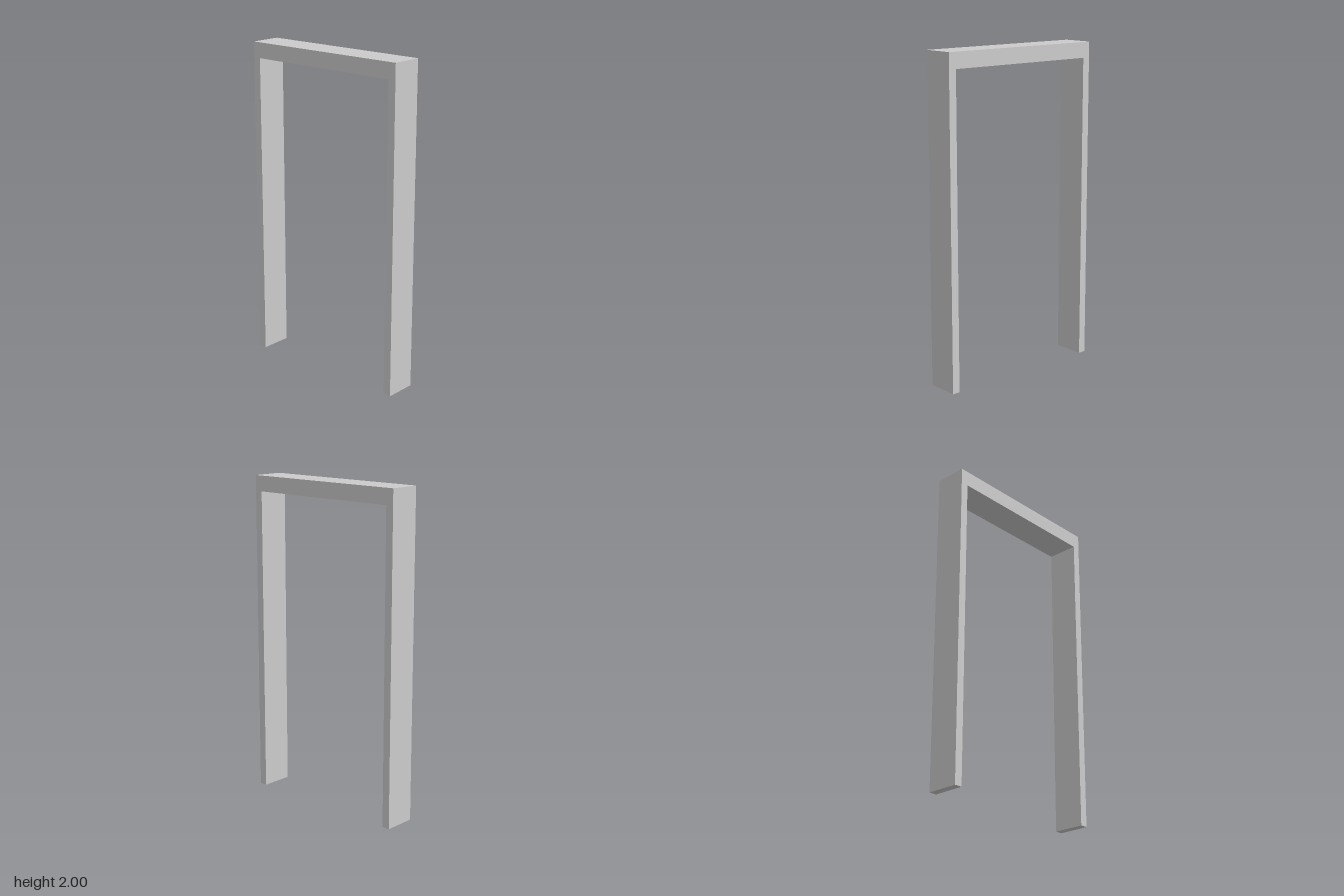
import * as THREE from 'three';

const WIDTH = 1.097, HEIGHT = 2, DEPTH = 0.197;
const POST = 0.049, LINTEL = 0.096;

export function createModel() {
  const group = new THREE.Group();
  group.name = 'doorway';

  // Outline of two posts joined by a lintel, open at the floor
  const outer = WIDTH / 2, inner = outer - POST, soffit = HEIGHT - LINTEL;
  const outline = new THREE.Shape([
    [-outer, 0], [-inner, 0], [-inner, soffit], [inner, soffit],
    [inner, 0], [outer, 0], [outer, HEIGHT], [-outer, HEIGHT],
  ].map(([x, y]) => new THREE.Vector2(x, y)));

  // One solid frame, centred in depth
  const geometry = new THREE.ExtrudeGeometry(outline, { depth: DEPTH, bevelEnabled: false });
  geometry.translate(0, 0, -DEPTH / 2);

  const frame = new THREE.Mesh(geometry, new THREE.MeshStandardMaterial({ color: 0xcccccc }));
  frame.name = 'doorFrame';
  group.add(frame);
  return group;
}
